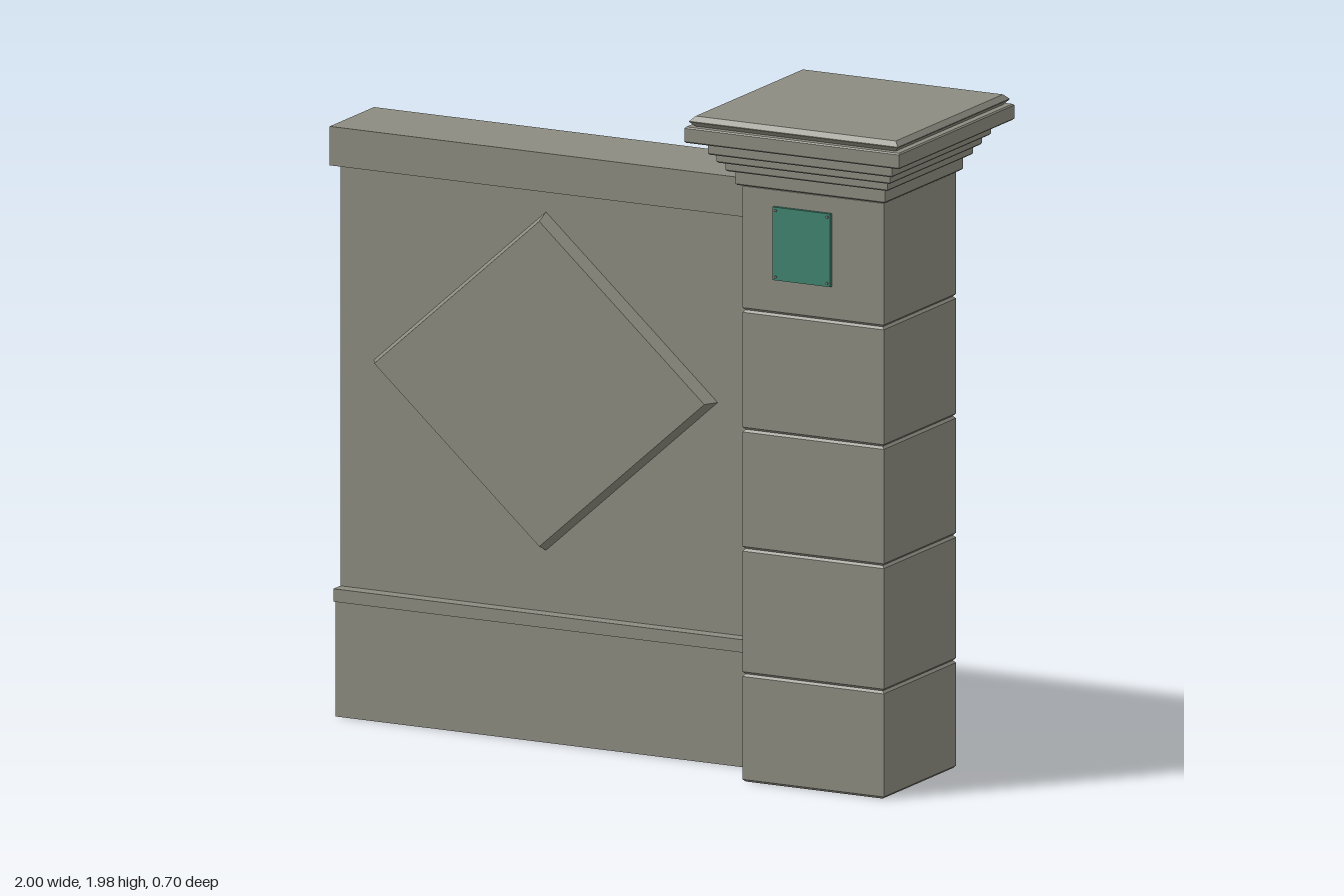
import * as THREE from 'three';

const stone = new THREE.MeshStandardMaterial({ name: 'warm grey stone', color: 0x8c8b80 });
const teal = new THREE.MeshStandardMaterial({ name: 'teal enamel', color: 0x3f836f });

// Flat-faced four-sided solid from a [radius, height] profile
function fourSided(profile, phi) {
  const pts = profile.map(([r, y]) => new THREE.Vector2(r, y));
  const g = new THREE.LatheGeometry(pts, 4, phi).toNonIndexed();
  g.computeVertexNormals();
  return g;
}

// Rectangular block with chamfered top and bottom edges
function block(hx, hz, y0, y1, c) {
  const s = Math.SQRT2;
  const k = s * (1 - c / hx);
  const g = fourSided([[0, y0], [k, y0], [s, y0 + c], [s, y1 - c], [k, y1], [0, y1]], Math.PI / 4);
  g.scale(hx, 1, hz);
  g.computeVertexNormals();
  return g;
}

function box(x0, x1, y0, y1, z0, z1) {
  return new THREE.BoxGeometry(x1 - x0, y1 - y0, z1 - z0)
    .translate((x0 + x1) / 2, (y0 + y1) / 2, (z0 + z1) / 2);
}

function add(parent, name, geometry, material = stone) {
  const mesh = new THREE.Mesh(geometry, material);
  mesh.name = name;
  parent.add(mesh);
  return mesh;
}

function createModel() {
  const model = new THREE.Group();
  model.name = 'gatePillarAndWall';

  // Garden wall with plinth, moulding and coping
  const wall = new THREE.Group();
  wall.name = 'wall';
  model.add(wall);
  add(wall, 'wallBody', box(-0.99, 0.5, 0.3, 1.66, -0.164, 0.034));
  add(wall, 'plinth', box(-0.99, 0.5, 0, 0.345, -0.168, 0.062));
  add(wall, 'plinthMoulding', box(-0.99, 0.5, 0.342, 0.38, -0.172, 0.076));
  add(wall, 'coping', box(-1, 0.5, 1.63, 1.745, -0.19, 0.08));

  // Raised diamond panel with sloping edges
  const diamond = fourSided([[0, 0], [1, 0], [0.96, 0.042], [0, 0.042]], 0);
  diamond.scale(0.56, 1, 0.5).rotateX(Math.PI / 2);
  diamond.computeVertexNormals();
  add(wall, 'diamondPanel', diamond).position.set(-0.32, 1.06, 0.033);

  // Pillar of stacked stone blocks
  const pillar = new THREE.Group();
  pillar.name = 'pillar';
  pillar.position.x = 0.65;
  model.add(pillar);
  const joints = [0, 0.318, 0.688, 1.04, 1.393, 1.766];
  for (let i = 0; i < 5; i++) {
    add(pillar, 'pillarBlock', block(0.23, 0.22, joints[i], joints[i + 1], 0.007));
  }

  // Stepped capital: half width in x, half width in z, bottom, top
  const steps = [
    [0.243, 0.238, 1.764, 1.807],
    [0.264, 0.26, 1.807, 1.834],
    [0.282, 0.28, 1.834, 1.86],
    [0.3, 0.3, 1.86, 1.9],
    [0.35, 0.35, 1.9, 1.947],
    [0.34, 0.34, 1.947, 1.977],
  ];
  steps.forEach(([hx, hz, y0, y1], i) => {
    add(pillar, 'capitalStep', block(hx, hz, y0, y1, i === 5 ? 0.014 : 0.004));
  });

  // Enamel plaque with a slightly domed centre and corner screws
  const plaque = new THREE.Group();
  plaque.name = 'plaque';
  plaque.position.set(-0.033, 1.603, 0.22);
  pillar.add(plaque);
  add(plaque, 'plaquePlate', box(-0.094, 0.094, -0.108, 0.108, -0.002, 0.01), teal);
  for (const sx of [-1, 1]) {
    for (const sy of [-1, 1]) {
      const screw = new THREE.CylinderGeometry(0.004, 0.004, 0.006, 10).rotateX(Math.PI / 2);
      add(plaque, 'screw', screw).position.set(sx * 0.084, sy * 0.098, 0.011);
    }
  }

  return model;
}

export { createModel };
